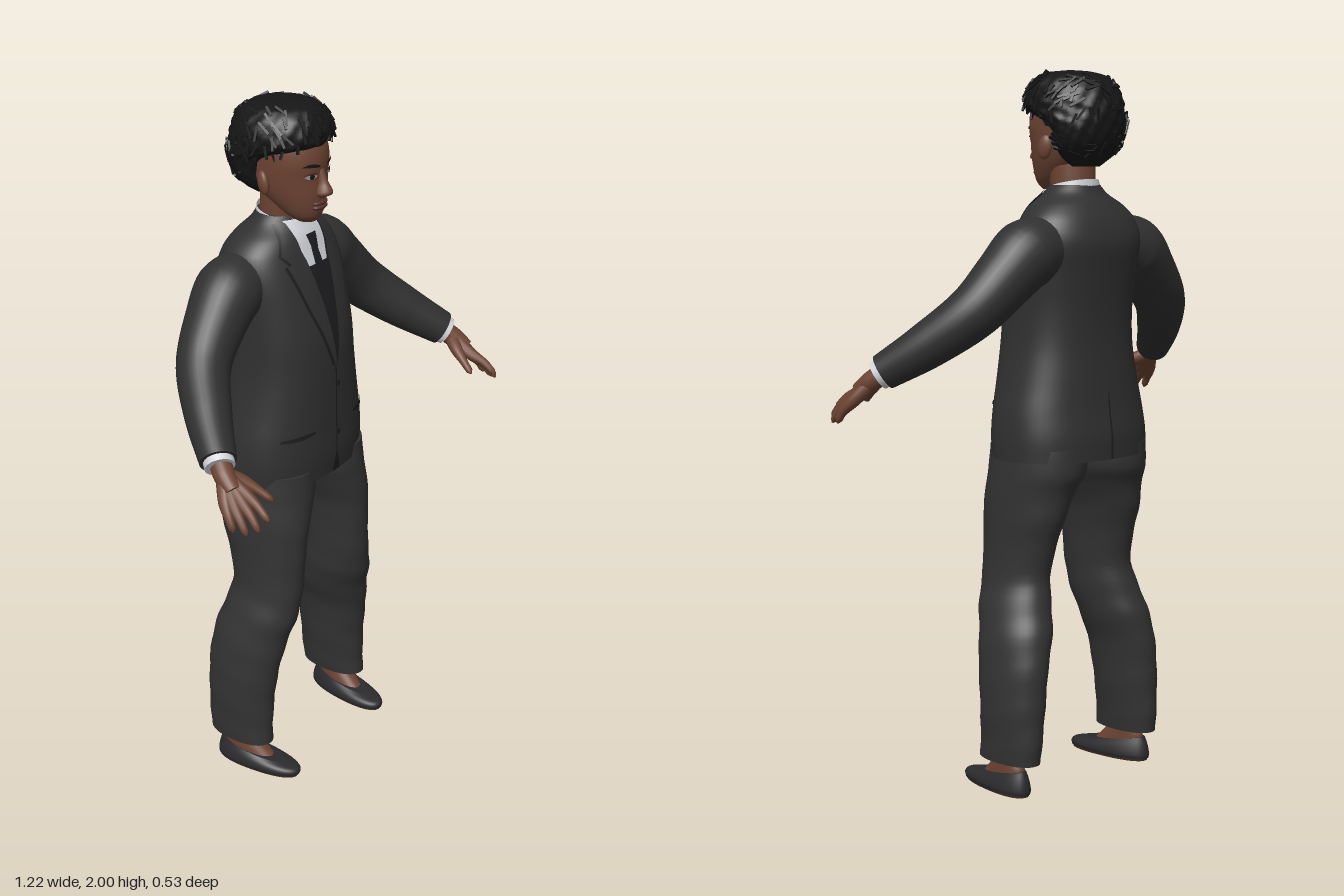
import * as THREE from 'three';
import { mergeGeometries } from 'three/addons/utils/BufferGeometryUtils.js';

const mat = (name, color) => Object.assign(new THREE.MeshStandardMaterial({ color, side: THREE.DoubleSide }), { name });
const M = {
  jacket: mat('jacket cloth', 0x303031), trousers: mat('trouser cloth', 0x333334),
  shirt: mat('shirt white', 0xd4d5da), tie: mat('tie black', 0x1d1d20),
  skin: mat('skin brown', 0x6e4534), hair: mat('hair black', 0x161617),
  shoe: mat('shoe leather', 0x2b2b2e), sole: mat('sole brown', 0x4a2f22),
  lip: mat('lip brown', 0x58322a), eye: mat('eye white', 0xa39a92),
};

function mesh(name, geometry, material) {
  const m = new THREE.Mesh(geometry, material);
  m.name = name;
  return m;
}

// Skin over a stack of closed loops, with flat caps on request
function shell(rows, capStart = true, capEnd = true) {
  const n = rows[0].length, pos = [], idx = [];
  rows.forEach(r => r.forEach(v => pos.push(v.x, v.y, v.z)));
  for (let i = 0; i < rows.length - 1; i++) for (let j = 0; j < n; j++) {
    const a = i * n + j, b = i * n + (j + 1) % n, d = a + n, c = b + n;
    idx.push(a, d, b, b, d, c);
  }
  const cap = (row, flip) => {
    const base = pos.length / 3, mid = new THREE.Vector3();
    row.forEach(v => { mid.addScaledVector(v, 1 / n); pos.push(v.x, v.y, v.z); });
    pos.push(mid.x, mid.y, mid.z);
    for (let j = 0; j < n; j++) {
      const a = base + j, b = base + (j + 1) % n;
      idx.push(base + n, flip ? b : a, flip ? a : b);
    }
  };
  if (capStart) cap(rows[0], false);
  if (capEnd) cap(rows[rows.length - 1], true);
  const g = new THREE.BufferGeometry();
  g.setAttribute('position', new THREE.Float32BufferAttribute(pos, 3));
  g.setIndex(idx);
  g.computeVertexNormals();
  return g;
}

// Section [y, cx, cz, rx, rz, power, tilt] interpolated smoothly at height y
function sectionAt(s, y) {
  let i = 0;
  while (i < s.length - 2 && y > s[i + 1][0]) i++;
  const h = s[i + 1][0] - s[i][0], t = THREE.MathUtils.clamp((y - s[i][0]) / h, 0, 1);
  const val = (k, c) => s[k][c] ?? (c === 5 ? 2 : 0);
  const slope = (k, c) => {
    const a = Math.max(k - 1, 0), b = Math.min(k + 1, s.length - 1);
    return (val(b, c) - val(a, c)) / (s[b][0] - s[a][0]);
  };
  const t2 = t * t, t3 = t2 * t;
  return [0, 1, 2, 3, 4, 5, 6].map(c => c === 0 ? y :
    (2 * t3 - 3 * t2 + 1) * val(i, c) + (t3 - 2 * t2 + t) * h * slope(i, c) +
    (3 * t2 - 2 * t3) * val(i + 1, c) + (t3 - t2) * h * slope(i + 1, c));
}

function loopPoint([y, cx, cz, rx, rz, p, tilt], a, k = 1) {
  const f = v => Math.sign(v) * Math.abs(v) ** (2 / p);
  const dz = rz * k * f(Math.sin(a));
  return new THREE.Vector3(cx + rx * k * f(Math.cos(a)), y + tilt * dz, cz + dz);
}

function loft(s, { seg = 40, sub = 4, capStart = true, capEnd = true, bump = () => 1 } = {}) {
  const rows = [];
  for (let i = 0; i < s.length - 1; i++) for (let k = i ? 1 : 0; k <= sub; k++) {
    const y = s[i][0] + (s[i + 1][0] - s[i][0]) * k / sub, sec = sectionAt(s, y);
    rows.push(Array.from({ length: seg }, (_, j) => {
      const a = j / seg * Math.PI * 2;
      return loopPoint(sec, a, bump(a, y));
    }));
  }
  return shell(rows, capStart, capEnd);
}

// Tapered limb through points [x, y, z, radius]
function limb(pts, { seg = 20, steps = 24, capStart = true, capEnd = true } = {}) {
  const curve = new THREE.CatmullRomCurve3(pts.map(p => new THREE.Vector3(...p)));
  const { normals, binormals } = curve.computeFrenetFrames(steps);
  const rows = normals.map((N, i) => {
    const t = i / steps, u = curve.getUtoTmapping(t) * (pts.length - 1);
    const k = Math.min(Math.floor(u), pts.length - 2);
    const r = THREE.MathUtils.lerp(pts[k][3], pts[k + 1][3], u - k), c = curve.getPointAt(t);
    return Array.from({ length: seg }, (_, j) => {
      const a = j / seg * Math.PI * 2;
      return c.clone().addScaledVector(N, r * Math.cos(a)).addScaledVector(binormals[i], -r * Math.sin(a));
    });
  });
  return shell(rows, capStart, capEnd);
}

// Thin patch lying on a lofted surface; rows [y, x0, x1] run downwards
function patch(s, rows, off, side = 1, cols = 6, sub = 6) {
  const pos = [], idx = [];
  for (let i = 0; i <= (rows.length - 1) * sub; i++) {
    const k = Math.min(Math.floor(i / sub), rows.length - 2), t = i / sub - k;
    const [y, x0, x1] = [0, 1, 2].map(c => THREE.MathUtils.lerp(rows[k][c], rows[k + 1][c], t));
    const [, cx, cz, rx, rz, p] = sectionAt(s, y);
    for (let j = 0; j <= cols; j++) {
      const x = x0 + (x1 - x0) * j / cols, q = Math.min(Math.abs((x - cx) / rx), 1);
      pos.push(x, y, cz + side * (rz * (1 - q ** p) ** (1 / p) + off));
      if (i && j) {
        const c = i * (cols + 1) + j, d = c - 1, b = c - cols - 1, a = b - 1;
        idx.push(...(side > 0 ? [a, d, b, b, d, c] : [a, b, d, b, c, d]));
      }
    }
  }
  const g = new THREE.BufferGeometry();
  g.setAttribute('position', new THREE.Float32BufferAttribute(pos, 3));
  g.setIndex(idx);
  g.computeVertexNormals();
  return g;
}

const TORSO = [
  [0.935, 0, -0.09, 0.236, 0.166, 2.4], [1.0, 0, -0.087, 0.236, 0.168, 2.4], [1.07, 0, -0.083, 0.228, 0.162, 2.4],
  [1.15, 0, -0.08, 0.21, 0.158, 2.4], [1.25, 0, -0.078, 0.192, 0.154, 2.4], [1.35, 0, -0.083, 0.186, 0.153, 2.4],
  [1.45, 0, -0.1, 0.188, 0.148, 2.4], [1.53, 0, -0.117, 0.192, 0.14, 2.4], [1.59, 0, -0.12, 0.18, 0.12, 2.3],
  [1.63, 0, -0.115, 0.145, 0.1, 2.2], [1.66, 0, -0.11, 0.1, 0.078, 2], [1.685, 0, -0.11, 0.073, 0.064, 2]];
const LEG = [
  [0.095, 0.233, -0.092, 0.055, 0.105, 2.2], [0.15, 0.231, -0.095, 0.061, 0.108], [0.25, 0.226, -0.095, 0.071, 0.11],
  [0.36, 0.216, -0.088, 0.076, 0.117], [0.45, 0.195, -0.075, 0.085, 0.12], [0.52, 0.178, -0.055, 0.084, 0.119],
  [0.6, 0.162, -0.042, 0.077, 0.113], [0.7, 0.154, -0.05, 0.08, 0.125], [0.78, 0.147, -0.062, 0.089, 0.14],
  [0.85, 0.132, -0.07, 0.104, 0.147], [0.9, 0.119, -0.083, 0.116, 0.156], [0.97, 0.115, -0.085, 0.114, 0.155]];
const HEAD = [
  [1.672, 0, -0.022, 0.026, 0.028], [1.69, 0, -0.032, 0.048, 0.052], [1.72, 0, -0.052, 0.067, 0.08],
  [1.76, 0, -0.075, 0.084, 0.107], [1.8, 0, -0.085, 0.093, 0.114, 2.1], [1.85, 0, -0.085, 0.098, 0.117, 2.1],
  [1.9, 0, -0.095, 0.098, 0.115], [1.95, 0, -0.1, 0.08, 0.09]];
const HAIR = [
  [1.735, 0, -0.15, 0.045, 0.03], [1.765, 0, -0.155, 0.085, 0.06], [1.8, 0, -0.165, 0.108, 0.074],
  [1.85, 0, -0.16, 0.122, 0.09], [1.885, 0, -0.115, 0.127, 0.136], [1.91, 0, -0.105, 0.128, 0.142],
  [1.95, 0, -0.1, 0.117, 0.13], [1.98, 0, -0.095, 0.088, 0.098], [1.992, 0, -0.09, 0.05, 0.06], [1.996, 0, -0.09, 0.01, 0.012]];

function buildHead() {
  const g = new THREE.Group();
  g.name = 'head';
  g.add(mesh('face', loft(HEAD), M.skin));
  g.add(mesh('neck', limb([[0, 1.58, -0.115, 0.066], [0, 1.66, -0.105, 0.062], [0, 1.77, -0.092, 0.068]]), M.skin));
  g.add(mesh('nose', loft([[1.748, 0, 0.026, 0.014, 0.014], [1.757, 0, 0.033, 0.023, 0.026], [1.768, 0, 0.032, 0.021, 0.029],
    [1.79, 0, 0.028, 0.013, 0.02], [1.825, 0, 0.022, 0.011, 0.011]], { seg: 20 }), M.skin));
  [[1.73, 0.008], [1.718, 0.009]].forEach(([y, h]) => {
    const lip = mesh('lip', new THREE.SphereGeometry(1, 18, 10), M.lip);
    lip.position.set(0, y, 0.022);
    lip.scale.set(0.03, h, 0.015);
    g.add(lip);
  });
  for (const s of [1, -1]) {
    const half = new THREE.Group();
    half.name = s > 0 ? 'leftFeatures' : 'rightFeatures';
    half.add(mesh('eyeWhite', patch(HEAD, [[1.817, 0.032, 0.044], [1.81, 0.02, 0.056], [1.803, 0.032, 0.046]], 0.003), M.eye));
    half.add(mesh('iris', patch(HEAD, [[1.817, 0.034, 0.042], [1.81, 0.031, 0.045], [1.803, 0.034, 0.042]], 0.005), M.hair));
    half.add(mesh('upperLid', patch(HEAD, [[1.822, 0.03, 0.046], [1.815, 0.019, 0.06]], 0.0045), M.lip));
    half.add(mesh('eyebrow', patch(HEAD, [[1.846, 0.035, 0.05], [1.839, 0.016, 0.064], [1.834, 0.015, 0.022]], 0.004), M.hair));
    const ear = mesh('ear', new THREE.SphereGeometry(1, 16, 12), M.skin);
    ear.position.set(0.098, 1.787, -0.092);
    ear.scale.set(0.013, 0.034, 0.021);
    ear.rotation.set(-0.2, 0.35, 0);
    half.add(ear);
    half.scale.x = s;
    g.add(half);
  }
  // Hair mass with ridges, then short scattered locks
  const bump = (a, y) => 1 + 0.014 * Math.sin(a * 17 + y * 90) + 0.012 * Math.sin(a * 9 - y * 160);
  g.add(mesh('hair', loft(HAIR, { seg: 72, sub: 5, bump }), M.hair));
  let seed = 7;
  const rnd = () => (seed = (seed * 16807) % 2147483647) / 2147483647;
  const locks = Array.from({ length: 170 }, () => {
    const y = 1.77 + 0.215 * rnd(), a = rnd() * Math.PI * 2, p = loopPoint(sectionAt(HAIR, y), a, 1.005);
    const b = new THREE.BoxGeometry(0.007, 0.028 + 0.02 * rnd(), 0.006);
    const out = p.clone().sub(new THREE.Vector3(0, 1.87, -0.11)).normalize();
    const q = new THREE.Quaternion().setFromUnitVectors(new THREE.Vector3(0, 0, 1), out);
    return b.rotateZ((rnd() - 0.5) * 1.4).applyQuaternion(q).translate(p.x, p.y, p.z);
  });
  g.add(mesh('hairLocks', mergeGeometries(locks), M.hair));
  return g;
}

function buildJacket() {
  const g = new THREE.Group();
  g.name = 'jacket';
  const add = (name, rows, off, m, side) => g.add(mesh(name, patch(TORSO, rows, off, side), m));
  g.add(mesh('jacketBody', loft(TORSO, { seg: 56 }), M.jacket));
  g.add(mesh('shirtCollar', loft([[1.65, 0, -0.106, 0.08, 0.072, 2, -0.15], [1.688, 0, -0.106, 0.07, 0.067, 2, -0.2]],
    { capStart: false, capEnd: false }), M.shirt));
  add('shirtFront', [[1.675, -0.06, 0.06], [1.62, -0.062, 0.062], [1.55, -0.04, 0.04]], 0.003, M.shirt);
  add('waistcoat', [[1.555, -0.045, 0.045], [1.27, -0.004, 0.004]], 0.004, M.tie);
  add('tieKnot', [[1.635, -0.021, 0.021], [1.595, -0.013, 0.013]], 0.009, M.tie);
  add('tie', [[1.6, -0.013, 0.013], [1.45, -0.023, 0.023], [1.3, -0.006, 0.006]], 0.007, M.tie);
  add('frontSeam', [[1.27, -0.002, 0.003], [1.0, -0.002, 0.003], [0.937, -0.016, 0.02]], 0.003, M.tie);
  add('backVent', [[1.12, -0.002, 0.002], [0.937, -0.004, 0.004]], 0.003, M.tie, -1);
  [1.21, 1.06].forEach(y => add('button', [[y + 0.008, 0.002, 0.008], [y, -0.003, 0.013], [y - 0.008, 0.002, 0.008]], 0.007, M.tie));
  const lapel = [[1.672, 0.06, 0.078], [1.6, 0.055, 0.118], [1.575, 0.047, 0.098], [1.57, 0.046, 0.112], [1.45, 0.026, 0.078], [1.27, 0.001, 0.01]];
  for (const s of [1, -1]) {
    const half = new THREE.Group();
    half.name = s > 0 ? 'leftFront' : 'rightFront';
    half.add(mesh('lapelEdge', patch(TORSO, lapel.map(([y, a, b]) => [y - 0.003, a, b + 0.005]), 0.004), M.tie));
    half.add(mesh('lapel', patch(TORSO, lapel, 0.009), M.jacket));
    half.add(mesh('pocket', patch(TORSO, [[1.093, 0.09, 0.12], [1.086, 0.088, 0.185], [1.078, 0.13, 0.19]], 0.004), M.tie));
    half.scale.x = s;
    g.add(half);
  }
  return g;
}

function buildArm() {
  const g = new THREE.Group();
  g.add(mesh('sleeve', limb([[0.13, 1.52, -0.13, 0.085], [0.205, 1.5, -0.13, 0.096], [0.27, 1.445, -0.122, 0.086],
    [0.36, 1.355, -0.095, 0.075], [0.45, 1.265, -0.01, 0.064], [0.528, 1.19, 0.085, 0.05]], { seg: 28, steps: 40 }), M.jacket));
  g.add(mesh('cuff', limb([[0.51, 1.207, 0.064, 0.043], [0.536, 1.18, 0.097, 0.041]], { steps: 2 }), M.shirt));
  g.add(mesh('wrist', limb([[0.52, 1.195, 0.08, 0.03], [0.543, 1.163, 0.118, 0.029], [0.555, 1.135, 0.155, 0.024]]), M.skin));
  // Each finger starts in the palm: knuckle, middle joint, tip
  const fingers = {
    thumb: [[0.51, 1.145, 0.15], [0.492, 1.122, 0.188], [0.48, 1.1, 0.22]],
    indexFinger: [[0.538, 1.128, 0.182], [0.544, 1.11, 0.225], [0.548, 1.083, 0.26]],
    middleFinger: [[0.556, 1.115, 0.18], [0.568, 1.09, 0.222], [0.573, 1.06, 0.248]],
    ringFinger: [[0.572, 1.108, 0.168], [0.587, 1.078, 0.203], [0.592, 1.05, 0.224]],
    littleFinger: [[0.582, 1.11, 0.15], [0.598, 1.078, 0.176], [0.602, 1.052, 0.19]],
  };
  for (const [name, [k, m, t]] of Object.entries(fingers)) {
    const end = t.map((v, i) => v + (v - m[i]) * 0.12);
    g.add(mesh(name, limb([[0.54, 1.165, 0.112, 0.022], [...k, 0.018], [...m, 0.012], [...t, 0.009], [...end, 0.003]], { seg: 12, steps: 16 }), M.skin));
  }
  return g;
}

function buildLeg() {
  const g = new THREE.Group();
  const folds = (a, y) => 1 + 0.012 * Math.sin(y * 62 + 2 * Math.sin(a)) * (y < 0.62 ? 1 : 0.4);
  g.add(mesh('trouserLeg', loft(LEG, { bump: folds }), M.trousers));
  const foot = new THREE.Group();
  foot.name = 'foot';
  foot.add(mesh('sole', loft([[0, 0, 0, 0.044, 0.132, 2.3], [0.008, 0, 0, 0.046, 0.134, 2.3]], { sub: 1 }), M.sole));
  foot.add(mesh('shoe', loft([[0.006, 0, 0, 0.048, 0.136, 2.3], [0.018, 0, 0, 0.052, 0.138, 2.2], [0.036, 0, -0.004, 0.048, 0.13, 2.1, -0.06],
    [0.054, 0, -0.02, 0.038, 0.105, 2, -0.16]]), M.shoe));
  foot.add(mesh('ankle', loft([[0.03, 0, -0.02, 0.036, 0.1, 2, -0.12], [0.062, 0, -0.038, 0.036, 0.078, 2, -0.16],
    [0.095, 0, -0.055, 0.036, 0.052], [0.16, 0, -0.06, 0.036, 0.045]]), M.skin));
  foot.position.set(0.227, 0, -0.033);
  foot.rotation.y = -0.12;
  g.add(foot);
  return g;
}

export function createModel() {
  const model = new THREE.Group();
  model.name = 'suitedFigure';
  model.add(buildHead(), buildJacket());
  for (const s of [1, -1]) for (const [part, build] of [['Arm', buildArm], ['Leg', buildLeg]]) {
    const limbGroup = build();
    limbGroup.name = (s > 0 ? 'left' : 'right') + part;
    limbGroup.scale.x = s;
    model.add(limbGroup);
  }
  return model;
}
